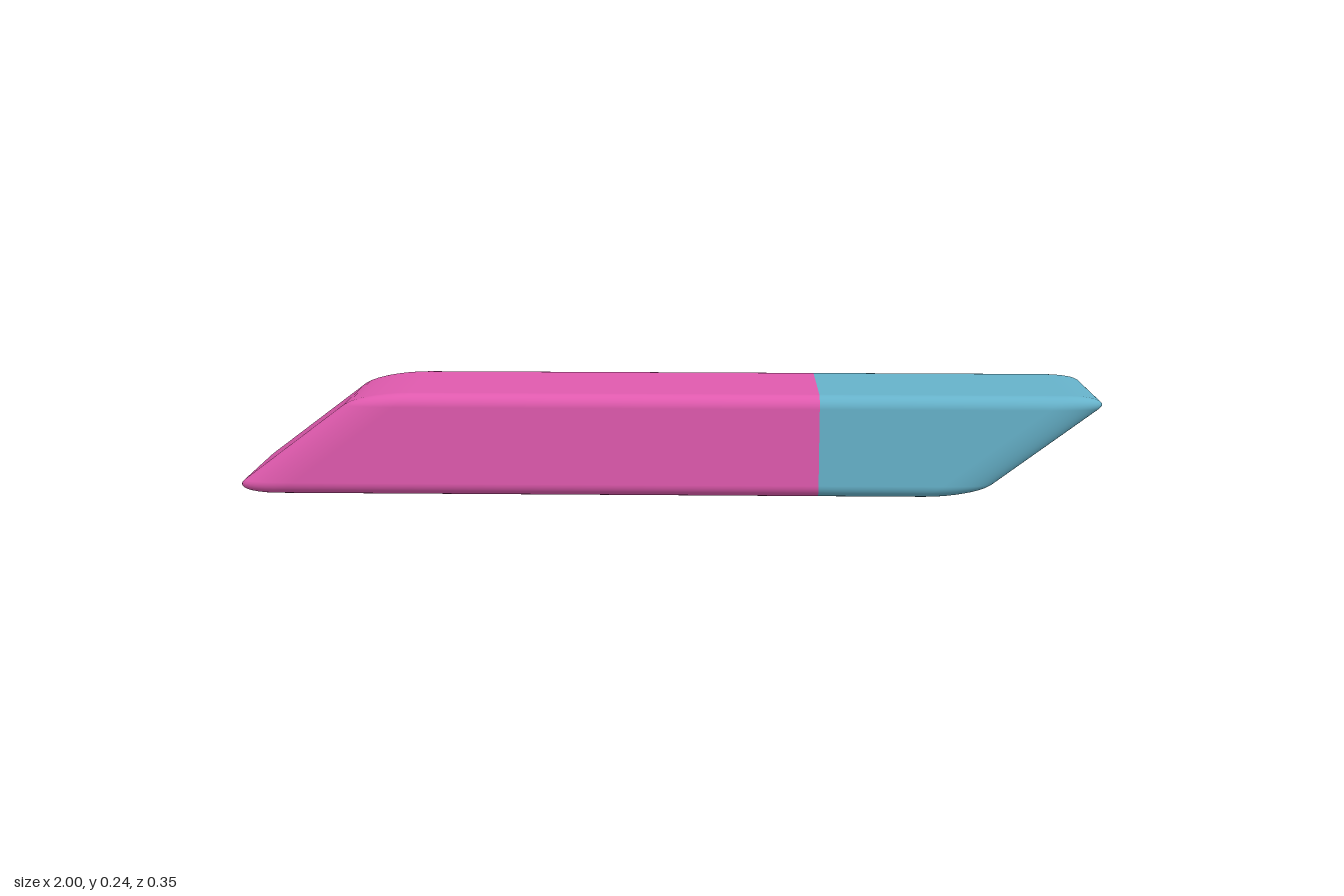
import * as THREE from 'three';
import { RoundedBoxGeometry } from 'three/addons/geometries/RoundedBoxGeometry.js';

const HEIGHT = 0.24, DEPTH = 0.35, HALF_LENGTH = 0.873;
const RADIUS = 0.03, STRETCH = 4; // the rounding is four times longer along x
const SLANT = 1.33; // x shift per unit of height
const SEAM = 0.35; // where the two colours meet

// Slanted, softly rounded bar
function slantedBar() {
  const bar = new RoundedBoxGeometry(2 * HALF_LENGTH / STRETCH, HEIGHT, DEPTH, 4, RADIUS);
  bar.scale(STRETCH, 1, 1);
  bar.applyMatrix4(new THREE.Matrix4().set(
    1, SLANT, 0, 0,
    0, 1, 0, HEIGHT / 2,
    0, 0, 1, 0,
    0, 0, 0, 1));
  return bar.index ? bar.toNonIndexed() : bar;
}

// Keeps the bar on one side of the seam (side -1 or +1), open at the cut
function barHalf(side) {
  const bar = slantedBar();
  const p = bar.attributes.position, n = bar.attributes.normal;
  const positions = [], normals = [];
  for (let i = 0; i < p.count; i += 3) {
    const corners = [i, i + 1, i + 2];
    if (corners.every((k) => (p.getX(k) - SEAM) * side < 0)) continue;
    for (const k of corners) {
      const x = side < 0 ? Math.min(p.getX(k), SEAM) : Math.max(p.getX(k), SEAM);
      positions.push(x, p.getY(k), p.getZ(k));
      normals.push(n.getX(k), n.getY(k), n.getZ(k));
    }
  }
  const half = new THREE.BufferGeometry();
  half.setAttribute('position', new THREE.Float32BufferAttribute(positions, 3));
  half.setAttribute('normal', new THREE.Float32BufferAttribute(normals, 3));
  return half;
}

export function createModel() {
  const group = new THREE.Group();
  group.name = 'eraser';
  const parts = [
    ['pinkEnd', -1, 'pink rubber', 0xe05aae],
    ['blueEnd', 1, 'blue rubber', 0x66b2ca],
  ];
  for (const [name, side, colourName, color] of parts) {
    const material = new THREE.MeshStandardMaterial({ color });
    material.name = colourName;
    const mesh = new THREE.Mesh(barHalf(side), material);
    mesh.name = name;
    group.add(mesh);
  }
  return group;
}
